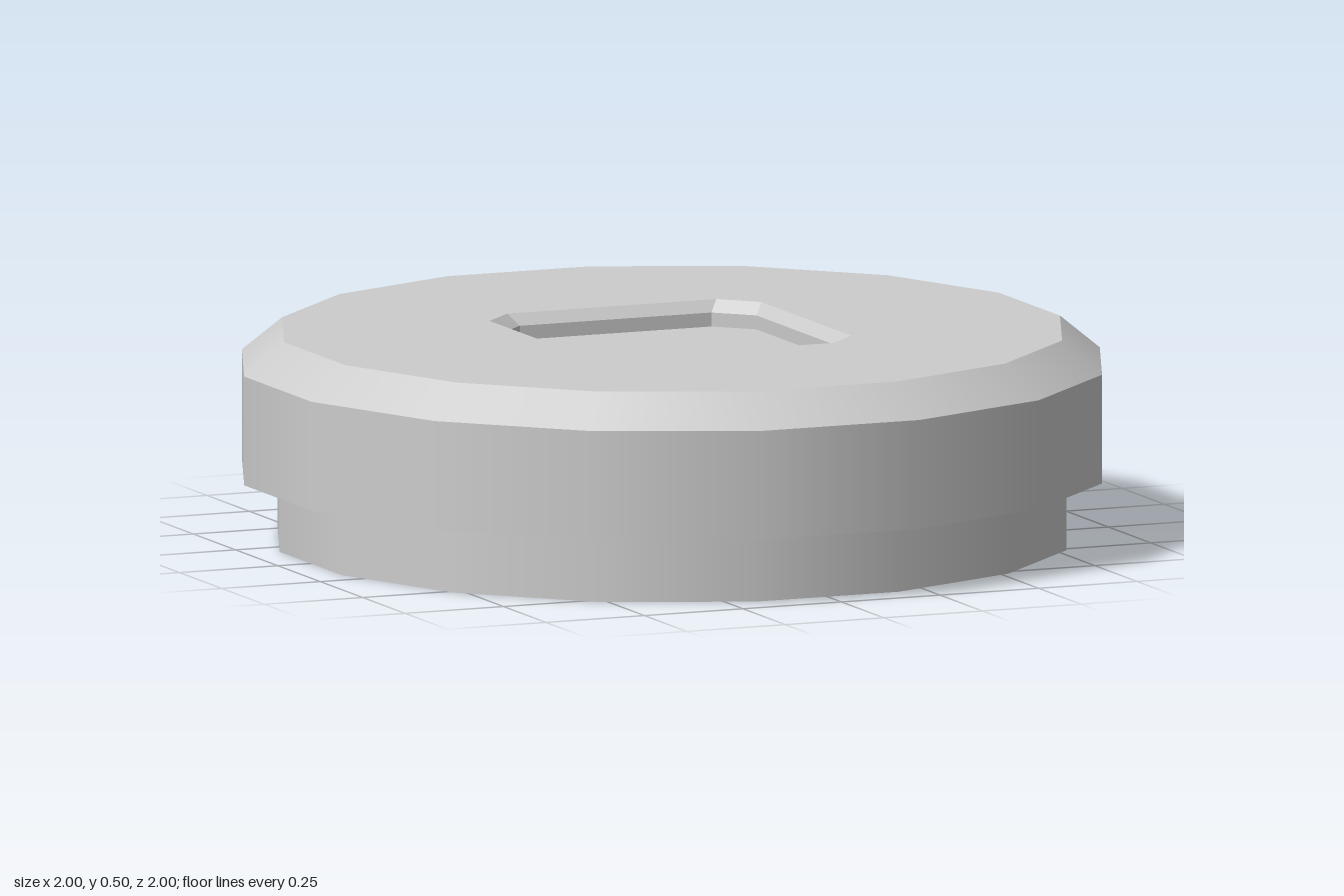
import * as THREE from 'three';

const SIDES = 16;
const TOP = 0.495;
const RECESS_Z = -0.01;
const toCorner = 1 / Math.cos(Math.PI / SIDES); // flat-to-centre distance -> corner radius

// Octagonal outline of the recess: a square with cut corners, counter-clockwise
function recessOutline(half, cut) {
  const a = half, b = half - cut, y = -RECESS_Z;
  return [[a, -b], [a, b], [b, a], [-b, a], [-a, b], [-a, -b], [-b, -a], [b, -a]]
    .map(([px, py]) => new THREE.Vector2(px, py + y));
}

// Inward-facing flat wall between two outlines at two heights
function wallGeometry(upper, yUpper, lower, yLower) {
  const pos = [];
  const put = (p, y) => pos.push(p.x, y, -p.y);
  upper.forEach((u0, i) => {
    const j = (i + 1) % upper.length;
    const u1 = upper[j], l0 = lower[i], l1 = lower[j];
    put(u0, yUpper); put(u1, yUpper); put(l1, yLower);
    put(u0, yUpper); put(l1, yLower); put(l0, yLower);
  });
  const g = new THREE.BufferGeometry();
  g.setAttribute('position', new THREE.Float32BufferAttribute(pos, 3));
  g.computeVertexNormals();
  return g;
}

export function createModel() {
  const group = new THREE.Group();
  const grey = new THREE.MeshStandardMaterial({ color: 0xcccccc });
  grey.name = 'light grey';

  function add(name, geometry) {
    const mesh = new THREE.Mesh(geometry, grey);
    mesh.name = name;
    group.add(mesh);
    return mesh;
  }

  // Outer bands: smooth around, sharp where they meet
  const bands = [
    ['underside', 0, 0, 0.917, 0],
    ['baseWall', 0.917, 0, 0.917, 0.16],
    ['rimUnderside', 0.917, 0.16, 1, 0.16],
    ['rimWall', 1, 0.16, 1, 0.417],
    ['rimBevel', 1, 0.417, 0.907, TOP],
  ];
  for (const [name, r0, y0, r1, y1] of bands) {
    const profile = [new THREE.Vector2(r0 * toCorner, y0), new THREE.Vector2(r1 * toCorner, y1)];
    add(name, new THREE.LatheGeometry(profile, SIDES, Math.PI / SIDES));
  }

  // Top face with the recess cut out
  const outer = recessOutline(0.345, 0.08);
  const inner = recessOutline(0.323, 0.08);
  const rim = Array.from({ length: SIDES }, (_, i) => {
    const a = ((i + 0.5) / SIDES) * Math.PI * 2;
    const r = 0.907 * toCorner;
    return new THREE.Vector2(Math.cos(a) * r, Math.sin(a) * r);
  });
  const face = new THREE.Shape(rim);
  face.holes.push(new THREE.Path(outer));
  add('topFace', new THREE.ShapeGeometry(face).rotateX(-Math.PI / 2).translate(0, TOP, 0));

  // Recess: sloped lip, upright wall and floor
  const lipY = TOP - 0.027, floorY = TOP - 0.06;
  add('recessLip', wallGeometry(outer, TOP, inner, lipY));
  add('recessWall', wallGeometry(inner, lipY, inner, floorY));
  add('recessFloor', new THREE.ShapeGeometry(new THREE.Shape(inner)).rotateX(-Math.PI / 2).translate(0, floorY, 0));

  return group;
}
